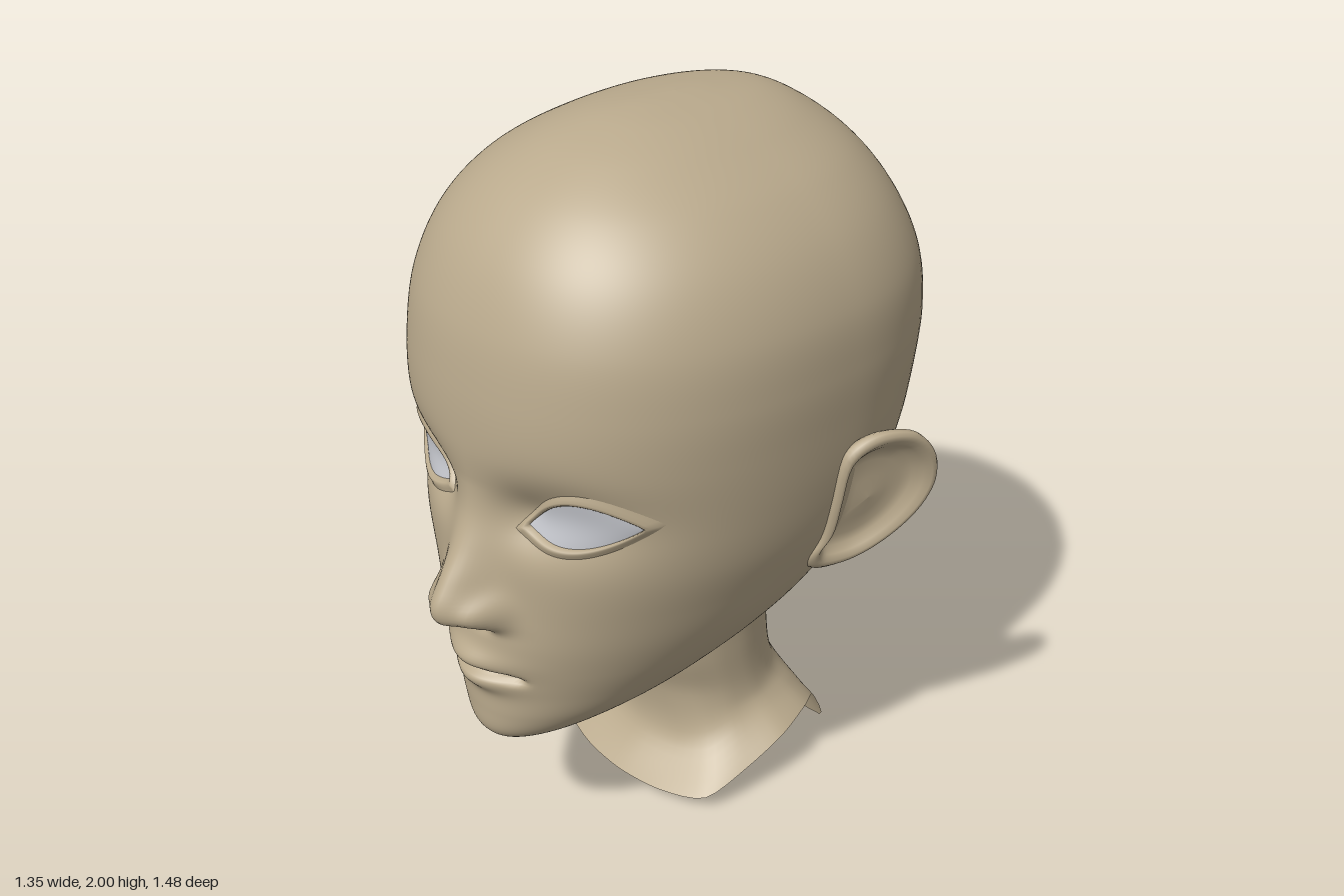
import * as THREE from 'three';

const skin = new THREE.MeshStandardMaterial({ color: 0xb9a98c, side: THREE.DoubleSide });
skin.name = 'skin';
const eyeWhite = new THREE.MeshStandardMaterial({ color: 0xc6c8ce, side: THREE.DoubleSide });
eyeWhite.name = 'eyeWhite';

// Head sections, chin to crown: y, front z, back z, half width, z of widest point
const SECTIONS = [
  [0.385, 0.45, 0.45, 0, 0.45], [0.393, 0.52, 0.34, 0.05, 0.44],
  [0.415, 0.57, 0.24, 0.10, 0.40], [0.455, 0.602, 0.10, 0.175, 0.31],
  [0.52, 0.606, -0.05, 0.255, 0.21], [0.60, 0.60, -0.20, 0.325, 0.12],
  [0.68, 0.60, -0.32, 0.385, 0.05], [0.77, 0.605, -0.41, 0.44, -0.02],
  [0.87, 0.605, -0.505, 0.485, -0.07], [1.0, 0.605, -0.61, 0.53, -0.10],
  [1.15, 0.61, -0.68, 0.558, -0.12], [1.3, 0.62, -0.72, 0.572, -0.12],
  [1.45, 0.612, -0.735, 0.578, -0.12], [1.6, 0.583, -0.705, 0.562, -0.12],
  [1.74, 0.52, -0.635, 0.50, -0.11], [1.85, 0.425, -0.55, 0.40, -0.10],
  [1.93, 0.30, -0.45, 0.27, -0.09], [1.975, 0.17, -0.35, 0.16, -0.08],
  [1.995, 0.05, -0.20, 0.06, -0.08], [2.0, -0.08, -0.08, 0, -0.08],
];
// Nose height above the face, by y
const NOSE = [
  [0.78, 0], [0.795, 0.003], [0.812, 0.035], [0.835, 0.10], [0.865, 0.125], [0.9, 0.126],
  [0.95, 0.10], [1.03, 0.05], [1.11, 0.015], [1.2, 0],
];

// Smooth interpolation through the rows of a table
function sample(rows, t) {
  const last = rows.length - 1;
  const i = Math.min(Math.floor(t), last - 1), f = t - i;
  const p0 = rows[Math.max(i - 1, 0)], p1 = rows[i], p2 = rows[i + 1], p3 = rows[Math.min(i + 2, last)];
  return p1.map((b, k) => {
    const a = p0[k], c = p2[k], d = p3[k];
    return b + 0.5 * f * (c - a + f * (2 * a - 5 * b + 4 * c - d + f * (3 * (b - c) + d - a)));
  });
}

// Row of a table at height y
function atHeight(rows, y) {
  let lo = 0, hi = rows.length - 1;
  for (let k = 0; k < 30; k++) {
    const mid = (lo + hi) / 2;
    if (sample(rows, mid)[0] < y) lo = mid; else hi = mid;
  }
  return sample(rows, lo);
}

const bump = (x, y, cx, cy, sx, sy) => Math.exp(-0.5 * (((x - cx) / sx) ** 2 + ((y - cy) / sy) ** 2));
const power = (y) => 2.1 + 0.2 * THREE.MathUtils.smoothstep(y, 0.6, 1.1);

// Relief of the face, pushed along z
function relief(px, y) {
  if (y < 0.42 || y > 1.5) return 0;
  const x = Math.abs(px);
  let d = 0;
  // eye sockets
  d -= 0.05 * bump(x, y, 0.25, 1.16, 0.11, 0.07) + 0.03 * bump(x, y, 0.15, 1.13, 0.05, 0.05);
  // nose, its wings and nostrils
  if (y > 0.78 && y < 1.2) {
    const width = THREE.MathUtils.mapLinear(y, 0.8, 1.2, 0.058, 0.04);
    d += atHeight(NOSE, y)[1] * bump(x, 0, 0, 0, width, 1);
  }
  d += 0.042 * bump(x, y, 0.085, 0.868, 0.027, 0.032);
  d -= 0.03 * bump(x, y, 0.045, 0.815, 0.02, 0.012);
  // muzzle, lips and the line between them
  d += 0.03 * bump(x, y, 0, 0.72, 0.12, 0.09);
  d += 0.03 * bump(x, y, 0, 0.697, 0.075, 0.025) + 0.026 * bump(x, y, 0, 0.626, 0.065, 0.022);
  const fade = 1 - THREE.MathUtils.smoothstep(x, 0.1, 0.16);
  d -= 0.034 * fade * bump(0, y, 0, 0.664 - 0.6 * x * x, 1, 0.009);
  return d;
}

function faceZ(x, y) {
  const [, front, , half, mid] = atHeight(SECTIONS, y), n = power(y);
  const k = Math.max(0, 1 - Math.abs(x / half) ** n);
  return mid + (front - mid) * k ** (1 / n) + relief(x, y);
}

// Surface through rows of points
function loft(rows, closed) {
  const n = rows[0].length, cols = closed ? n : n - 1, index = [];
  for (let r = 0; r < rows.length - 1; r++) {
    for (let c = 0; c < cols; c++) {
      const a = r * n + c, b = r * n + ((c + 1) % n);
      index.push(a, b, b + n, a, b + n, a + n);
    }
  }
  const g = new THREE.BufferGeometry();
  g.setAttribute('position', new THREE.Float32BufferAttribute(rows.flat(2), 3));
  g.setIndex(index);
  g.computeVertexNormals();
  return g;
}

function headGeometry() {
  const rows = [], segs = 180, rings = (SECTIONS.length - 1) * 11;
  for (let r = 0; r <= rings; r++) {
    const [y, front, back, halfRaw, mid] = sample(SECTIONS, r / 11);
    const half = Math.max(halfRaw, 1e-4), n = power(y), row = [];
    for (let s = 0; s < segs; s++) {
      // points crowd towards the face
      const u = (2 * s) / segs - 1, phi = Math.PI * (0.5 * u + 0.5 * u ** 3);
      const sn = Math.sin(phi), cs = Math.cos(phi);
      const depth = Math.max(cs > 0 ? front - mid : mid - back, 1e-4);
      const m = cs > 0 ? n : 2.12;
      const rad = (Math.abs(sn / half) ** m + Math.abs(cs / depth) ** m) ** (-1 / m);
      const x = rad * sn;
      row.push([x, y, mid + rad * cs + (cs > 0 ? relief(x, y) : 0)]);
    }
    rows.push(row);
  }
  return loft(rows, true);
}

function neckGeometry() {
  // Half outlines, front to back, mirrored into full rings
  const oval = (y, front, back, half) => Array.from({ length: 9 }, (_, i) => {
    const a = (i * Math.PI) / 8;
    return [half * Math.sin(a), y, (front + back) / 2 + ((front - back) / 2) * Math.cos(a)];
  });
  const hem = [[0, 0.025, 0.125], [0.15, 0.03, 0.11], [0.28, 0.05, 0.06], [0.32, 0.11, -0.07],
    [0.335, 0.165, -0.2], [0.3, 0.175, -0.33], [0.25, 0.14, -0.42], [0.225, 0.01, -0.49], [0, 0.01, -0.49]];
  const flare = [[0, 0.14, 0.03], [0.12, 0.14, 0.01], [0.2, 0.16, -0.03], [0.235, 0.2, -0.1],
    [0.255, 0.225, -0.2], [0.24, 0.225, -0.31], [0.2, 0.2, -0.39], [0.15, 0.15, -0.44], [0, 0.14, -0.455]];
  const halves = [hem, flare, oval(0.29, 0.03, -0.4, 0.225), oval(0.43, 0.075, -0.373, 0.222),
    oval(0.6, 0.1, -0.366, 0.235), oval(0.78, 0.05, -0.425, 0.3), oval(0.95, 0, -0.5, 0.34)];
  const rings = halves.map((h) => {
    const full = [...h, ...h.slice(1, 8).reverse().map(([x, y, z]) => [-x, y, z])];
    const curve = new THREE.CatmullRomCurve3(full.map((p) => new THREE.Vector3(...p)), true, 'catmullrom', 0.4);
    return Array.from({ length: 64 }, (_, i) => curve.getPoint(i / 64).toArray());
  });
  const rows = [];
  for (let r = 0; r <= 36; r++) rows.push(rings[0].map((_, c) => sample(rings.map((q) => q[c]), r / 6)));
  return loft(rows, true);
}

// Ear: outline in (z, y), shell profile as [scale, outward offset]
function earGeometry() {
  const outline = [[-0.1, 1.21], [-0.14, 1.25], [-0.2, 1.265], [-0.28, 1.245], [-0.335, 1.18], [-0.355, 1.1],
    [-0.34, 1.02], [-0.29, 0.93], [-0.23, 0.87], [-0.17, 0.845], [-0.1, 0.85], [-0.075, 0.89],
    [-0.09, 0.96], [-0.09, 1.08]];
  const profile = [[0, -0.03], [0.3, -0.034], [0.55, -0.034], [0.7, -0.025], [0.79, -0.004], [0.87, 0.01],
    [0.94, 0.011], [0.985, 0.003], [1, -0.01], [0.97, -0.024], [0.88, -0.032], [0.75, -0.045], [0.6, -0.1]];
  const curve = new THREE.CatmullRomCurve3(outline.map(([z, y]) => new THREE.Vector3(0, y, z)), true);
  const edge = curve.getPoints(64).slice(0, 64);
  const rows = profile.map(([s, off]) => edge.map((p) => {
    const y = 1.05 + (p.y - 1.05) * s, z = -0.21 + (p.z + 0.21) * s;
    return [atHeight(SECTIONS, y)[3] + 0.005 + 0.4 * (-0.09 - z) + off, y, z];
  }));
  return loft(rows, true);
}

// Almond eye opening: u runs inner to outer corner, v lower to upper lid
function almond(u, v) {
  const arch = Math.sin(Math.PI * u) ** 0.85;
  return [0.145 + 0.265 * u, 1.115 + 0.05 * u + arch * (-0.05 + 0.125 * v)];
}

function eyeGeometry() {
  const rows = [];
  for (let j = 0; j <= 12; j++) {
    const v = j / 12;
    rows.push(Array.from({ length: 33 }, (_, i) => {
      const u = i / 32, [x, y] = almond(u, v);
      return [x, y, faceZ(x, y) + 0.005 + 0.04 * v * (1 - v) * Math.sin(Math.PI * u)];
    }));
  }
  return loft(rows, false);
}

function eyelidGeometry() {
  const edge = [];
  for (let i = 0; i < 32; i++) edge.push(almond(i / 32, 1));
  for (let i = 32; i > 0; i--) edge.push(almond(i / 32, 0));
  const profile = [[-0.002, 0], [0, 0.011], [0.005, 0.016], [0.012, 0.014], [0.02, 0.007], [0.028, 0.001], [0.036, -0.006]];
  const rows = profile.map(([e, h]) => edge.map(([ex, ey]) => {
    const x = 0.278 + (ex - 0.278) * (1 + e / 0.135), y = 1.148 + (ey - 1.148) * (1 + e / 0.065);
    return [x, y, faceZ(x, y) + h];
  }));
  return loft(rows, true);
}

export function createModel() {
  const model = new THREE.Group();
  model.name = 'headBust';
  const add = (name, geometry, material, side = 1) => {
    const mesh = new THREE.Mesh(geometry, material);
    mesh.name = name;
    mesh.scale.x = side;
    model.add(mesh);
  };
  add('head', headGeometry(), skin);
  add('neck', neckGeometry(), skin);

  // Paired parts, mirrored across x
  const ear = earGeometry(), eye = eyeGeometry(), lid = eyelidGeometry();
  for (const [side, word] of [[1, 'left'], [-1, 'right']]) {
    add(word + 'Ear', ear, skin, side);
    add(word + 'Eye', eye, eyeWhite, side);
    add(word + 'Eyelids', lid, skin, side);
  }
  return model;
}
